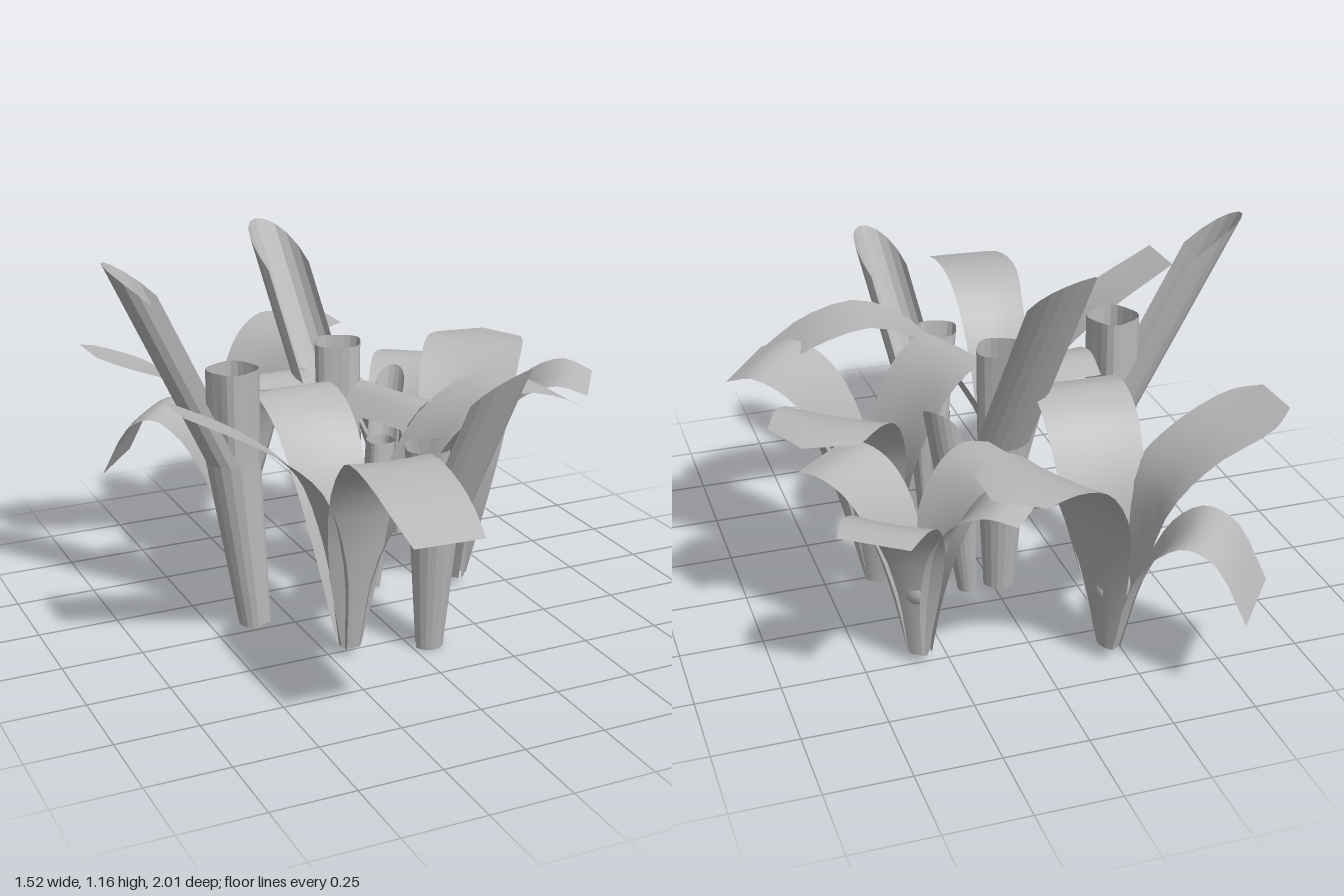
import * as THREE from 'three';

const grey = new THREE.MeshStandardMaterial({ color: 0xb8b8b8, side: THREE.DoubleSide });
grey.name = 'plantGrey';

// Open surface from a rule f(u, v) -> [x, y, z]
function surface(name, cols, rows, f, faceted) {
  const pos = [], idx = [];
  for (let j = 0; j <= rows; j++)
    for (let i = 0; i <= cols; i++) pos.push(...f(i / cols, j / rows));
  for (let j = 0; j < rows; j++)
    for (let i = 0; i < cols; i++) {
      const a = j * (cols + 1) + i, b = a + cols + 1;
      idx.push(a, b, a + 1, a + 1, b, b + 1);
    }
  let geo = new THREE.BufferGeometry();
  geo.setAttribute('position', new THREE.Float32BufferAttribute(pos, 3));
  geo.setIndex(idx);
  if (faceted) geo = geo.toNonIndexed();
  geo.computeVertexNormals();
  const mesh = new THREE.Mesh(geo, grey);
  mesh.name = name;
  return mesh;
}

const vec = (p) => new THREE.Vector3(...p);

// Pair of small rounded buds
function buds(group, x, y, z, turn, size) {
  for (const side of [-1, 1]) {
    const bud = new THREE.Mesh(new THREE.SphereGeometry(size, 12, 8), grey);
    bud.name = 'bud';
    bud.scale.set(0.55, 0.9, 1);
    bud.position.set(x + side * 0.5 * size * Math.cos(turn), y, z - side * 0.5 * size * Math.sin(turn));
    bud.rotation.y = turn;
    group.add(bud);
  }
}

// Strap leaf growing out of a clump; profile points are [distance out, height, half width].
// A point > 0 pushes the middle of the tip beyond its shoulders.
function leaf([cx, cz], [tx, tz], profile, point = 0) {
  const len = Math.hypot(tx - cx, tz - cz);
  const ux = (tx - cx) / len, uz = (tz - cz) / len;
  const curve = new THREE.CatmullRomCurve3(profile.map(vec), false, 'centripetal');
  return surface('leaf', 4, 16, (u, v) => {
    const p = curve.getPoint(v), s = u * 2 - 1;
    const tip = v > 0.75 ? point * (v - 0.75) * 4 * (1 - Math.abs(s)) : 0;
    const d = p.x - 0.25 * p.z * s * s * (1 - v) + tip;
    return [cx + ux * d - uz * s * p.z, p.y, cz + uz * d + ux * s * p.z];
  });
}

// Usual arching leaf for reach r, height h, half width w
const arch = (r, h, w, tip, endY, y0) => [
  [0.028, y0, 0.03], [0.15 * r, 0.42 * h, 0.62 * w], [0.28 * r, 0.72 * h, 0.9 * w],
  [0.52 * r, 0.93 * h, w], [0.78 * r, h, w], [r, endY, tip],
];

// Clump of leaves around a pair of buds
function clump(name, centre, leaves, budTurn) {
  const group = new THREE.Group();
  group.name = name;
  for (const [tip, profile, point] of leaves) group.add(leaf(centre, tip, profile, point));
  buds(group, centre[0], 0.25, centre[1], budTurn, 0.052);
  return group;
}

// Pitcher: lobed tube plus a half-round hood that bends away at the kink
function pitcher(name, base, kink, mouth, hoodTip, r, budTurn) {
  const group = new THREE.Group();
  group.name = name;
  const [b, k, m, h] = [base, kink, mouth, hoodTip].map(vec);
  const bent = (end, t) => (t < 0.4 ? b.clone().lerp(k, t / 0.4) : k.clone().lerp(end, (t - 0.4) / 0.6));
  const out = Math.atan2(h.z - k.z, h.x - k.x);
  const radius = (y) => r * (0.6 + 0.4 * Math.min(1, y / k.y));

  group.add(surface('tube', 24, 10, (u, v) => {
    const p = bent(m, v), a = u * Math.PI * 2;
    const lobe = 1 - (0.26 - 0.14 * v) * (1 - Math.cos(a * 4)) / 2;
    const q = 0.97 * radius(p.y) * lobe;
    return [p.x + q * Math.cos(a + out), p.y, p.z + q * Math.sin(a + out)];
  }, true));

  // The hood's edges stop short of its middle, which rounds the tip
  group.add(surface('hood', 10, 15, (u, v) => {
    const s = u * 2 - 1, a = out + s * 1.75;
    const t = v < 0.4 ? v : 0.4 + (v - 0.4) * (1 - 0.2 * s * s);
    const p = bent(h, t), q = radius(p.y) * 1.03;
    return [p.x + q * Math.cos(a), p.y, p.z + q * Math.sin(a)];
  }, true));

  buds(group, k.x, k.y, k.z, budTurn, r * 0.66);
  return group;
}

export function createModel() {
  const model = new THREE.Group();
  model.name = 'pitcherPlantBed';

  // Leaf clumps
  model.add(clump('frontClump', [-0.19, 0.27], [
    [[-0.72, 0.28], [[0.028, 0.03, 0.03], [0.06, 0.33, 0.08], [0.14, 0.57, 0.1], [0.3, 0.72, 0.105], [0.53, 0.855, 0.09]]],
    [[0.58, 0.265], [[0.028, 0.03, 0.03], [0.07, 0.3, 0.075], [0.18, 0.52, 0.1], [0.3, 0.69, 0.115],
      [0.47, 0.785, 0.115], [0.64, 0.755, 0.11], [0.77, 0.68, 0.09]]],
    [[-0.24, 1], [[0.028, 0.03, 0.03], [0.07, 0.3, 0.08], [0.13, 0.54, 0.1], [0.24, 0.68, 0.11],
      [0.34, 0.735, 0.12], [0.5, 0.725, 0.12], [0.62, 0.69, 0.115], [0.73, 0.645, 0.1]]],
    [[-0.205, -0.21], arch(0.48, 0.73, 0.13, 0.12, 0.7, 0.03)],
  ], 0));
  model.add(clump('backClump', [-0.2, -0.64], [
    [[-0.69, -0.625], [[0.028, 0.045, 0.03], [0.07, 0.3, 0.09], [0.13, 0.54, 0.13], [0.25, 0.66, 0.135],
      [0.42, 0.74, 0.135], [0.49, 0.77, 0.08]]],
    [[-0.53, -0.9], [[0.028, 0.045, 0.03], [0.1, 0.3, 0.1], [0.17, 0.43, 0.13], [0.25, 0.485, 0.13],
      [0.33, 0.45, 0.13], [0.42, 0.28, 0.13]]],
    [[0.24, -0.87], arch(0.43, 0.735, 0.155, 0.13, 0.725, 0.045), 0.07],
    [[-0.22, -0.21], arch(0.43, 0.72, 0.14, 0.145, 0.7, 0.045)],
  ], -0.4));
  model.add(clump('rightClump', [0.33, -0.48], [
    [[0.53, -0.755], arch(0.34, 0.59, 0.12, 0.105, 0.58, 0.03)],
    [[0.02, -0.37], arch(0.33, 0.585, 0.12, 0.1, 0.57, 0.03)],
    [[0.07, -0.7], arch(0.34, 0.59, 0.12, 0.1, 0.57, 0.03)],
    [[0.55, -0.23], arch(0.33, 0.59, 0.12, 0.11, 0.58, 0.03)],
  ], 0.5));
  model.add(clump('frontRightClump', [0.345, -0.055], [
    [[0.645, -0.45], arch(0.42, 0.74, 0.16, 0.14, 0.73, 0.03), 0.075],
    [[-0.03, 0.085], arch(0.4, 0.73, 0.145, 0.134, 0.66, 0.03)],
    [[0.68, 0.18], arch(0.41, 0.74, 0.15, 0.132, 0.71, 0.03)],
  ], 0.8));

  // Pitchers
  model.add(
    pitcher('leftPitcher', [-0.36, 0, -0.06], [-0.41, 0.54, -0.08], [-0.41, 0.83, -0.075], [-0.68, 1.16, -0.17], 0.083, 0.2),
    pitcher('backPitcher', [-0.025, 0, -0.14], [-0.02, 0.52, -0.175], [-0.01, 0.83, -0.2], [-0.115, 1.165, -0.46], 0.083, -0.3),
    pitcher('frontPitcher', [0.055, 0, 0.31], [0.055, 0.36, 0.325], [0.02, 0.66, 0.36], [0.165, 0.94, 0.55], 0.075, 0.6),
    pitcher('smallPitcher', [0.08, 0, -0.15], [0.11, 0.27, -0.17], [0.13, 0.49, -0.18], [0.195, 0.7, -0.25], 0.05, 0.6),
  );
  return model;
}
